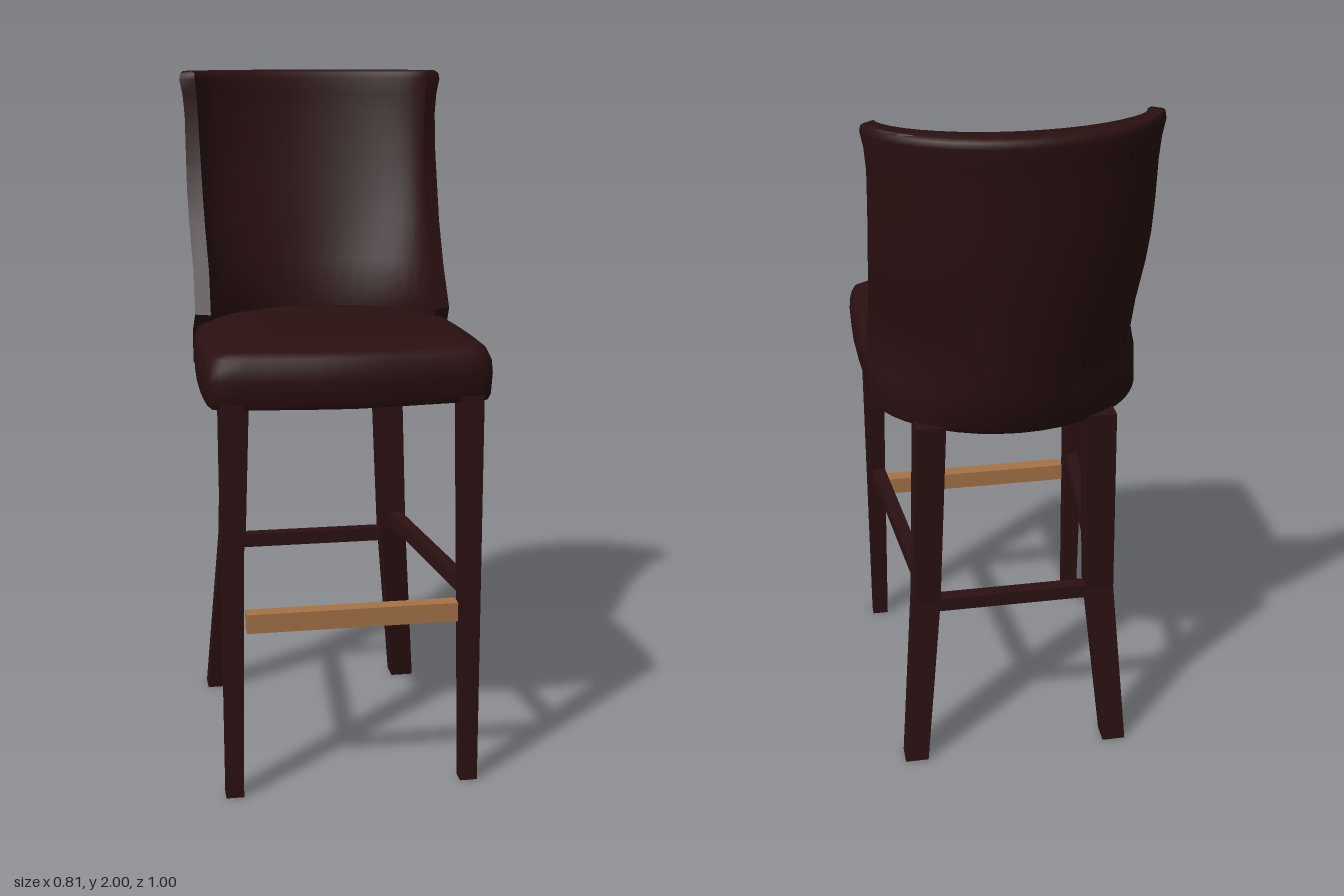
import * as THREE from 'three';
import { toCreasedNormals } from 'three/addons/utils/BufferGeometryUtils.js';

// Skin stacked rings (counter-clockwise from above, bottom to top) and cap both ends.
function loft(rings, crease) {
  const L = rings[0].length, index = [];
  const quad = (a, b, c, d) => index.push(a, b, c, a, c, d);
  for (let j = 0; j < rings.length - 1; j++)
    for (let i = 0; i < L; i++) {
      const k = (i + 1) % L;
      quad(j * L + i, j * L + k, (j + 1) * L + k, (j + 1) * L + i);
    }
  const top = (rings.length - 1) * L;
  for (let i = 0; i < L / 2 - 1; i++) {
    quad(top + i, top + i + 1, top + L - 2 - i, top + L - 1 - i);
    quad(L - 1 - i, L - 2 - i, i + 1, i);
  }
  const g = new THREE.BufferGeometry();
  g.setAttribute('position', new THREE.Float32BufferAttribute(rings.flat(2), 3));
  g.setIndex(index);
  return toCreasedNormals(g, crease);
}

// Rectangular ring at height y
const rect = (y, x0, x1, z0, z1) => [[x1, y, z1], [x1, y, z0], [x0, y, z0], [x0, y, z1]];

export function createModel() {
  const upholstery = new THREE.MeshStandardMaterial({ color: 0x2a1011 });
  upholstery.name = 'dark upholstery';
  const wood = new THREE.MeshStandardMaterial({ color: 0x2b1113 });
  wood.name = 'dark wood';
  const brass = new THREE.MeshStandardMaterial({ color: 0xa67448 });
  brass.name = 'bronze';

  const model = new THREE.Group();
  model.name = 'barStool';
  const add = (name, geometry, material) => {
    const mesh = new THREE.Mesh(geometry, material);
    mesh.name = name;
    model.add(mesh);
    return mesh;
  };

  // Seat cushion: half outline from the front centre round to the back centre
  const half = [[0, 0.5], [0.1, 0.493], [0.2, 0.482], [0.3, 0.472], [0.365, 0.464], [0.392, 0.445],
    [0.402, 0.39], [0.405, 0.28], [0.402, 0.14], [0.395, 0], [0.388, -0.07], [0.36, -0.12],
    [0.3, -0.2], [0.16, -0.28], [0, -0.3]];
  const outline = [...half, ...half.slice(1, -1).reverse().map(([x, z]) => [-x, z])];
  const seatLevels = [[1.122, 0.975], [1.14, 0.992], [1.2, 1], [1.235, 0.993], [1.26, 0.965],
    [1.274, 0.92], [1.287, 0.75], [1.296, 0.45], [1.3, 0.03]];
  add('seat', loft(seatLevels.map(([y, s]) => outline.map(([x, z]) => [x * s, y, z * s])), 0.9), upholstery);

  // Wrap-around backrest: height, half width, outer centre z, inner centre z, side front z, wall
  const backLevels = [
    [1.127, 0.380, -0.385, -0.25, -0.10, 0.05],
    [1.145, 0.388, -0.398, -0.25, -0.095, 0.055],
    [1.25, 0.390, -0.42, -0.25, -0.06, 0.05],
    [1.30, 0.386, -0.43, -0.25, -0.02, 0.045],
    [1.42, 0.383, -0.449, -0.285, -0.09, 0.045],
    [1.55, 0.386, -0.468, -0.32, -0.17, 0.045],
    [1.65, 0.388, -0.479, -0.345, -0.21, 0.045],
    [1.75, 0.387, -0.486, -0.37, -0.238, 0.042],
    [1.87, 0.387, -0.491, -0.395, -0.255, 0.038],
    [1.93, 0.392, -0.496, -0.405, -0.258, 0.04],
    [1.975, 0.401, -0.502, -0.41, -0.258, 0.045],
    [1.992, 0.398, -0.5, -0.415, -0.262, 0.042],
    [2.0, 0.388, -0.488, -0.428, -0.272, 0.025],
  ];
  const N = 20;
  const backRings = backLevels.map(([y, w, zo, zi, zf, wall]) => {
    const outer = [], inner = [];
    for (let i = 0; i <= N; i++) {
      const a = Math.PI * (0.5 - i / N);
      const c = Math.pow(Math.max(0, Math.cos(a)), 1.2), s = Math.sin(a);
      const ze = zf - 0.02;
      outer.push([w * s, y, ze + (zo - ze) * c]);
      inner.unshift([(w - wall) * s, y, zf + (zi - zf) * c]);
    }
    return [...outer, ...inner];
  });
  add('backrest', loft(backRings, 0.9), upholstery);

  // Mirrored legs and side stretchers
  for (const s of [1, -1]) {
    const side = s > 0 ? 'left' : 'right';
    const section = (y, a, b, z0, z1) => rect(y, Math.min(s * a, s * b), Math.max(s * a, s * b), z0, z1);
    add(side + 'FrontLeg', loft([
      section(0, 0.315, 0.365, 0.442, 0.482),
      section(1.14, 0.3, 0.365, 0.387, 0.466),
    ], 0.3), wood);
    add(side + 'BackLeg', loft([
      section(0, 0.275, 0.345, -0.366, -0.302),
      section(0.54, 0.222, 0.302, -0.316, -0.236),
      section(1.14, 0.2, 0.285, -0.345, -0.252),
    ], 0.1), wood);
    const rail = y => [[s * 0.33 + 0.02, y, 0.43], [s * 0.265 + 0.02, y, -0.26],
      [s * 0.265 - 0.02, y, -0.26], [s * 0.33 - 0.02, y, 0.43]];
    add(side + 'Stretcher', loft([rail(0.558), rail(0.598)], 0.3), wood);
  }

  // Cross rails
  add('backStretcher', new THREE.BoxGeometry(0.5, 0.042, 0.04), wood).position.set(0, 0.518, -0.276);
  add('footrest', new THREE.BoxGeometry(0.6, 0.055, 0.045), brass).position.set(0, 0.517, 0.453);

  return model;
}
